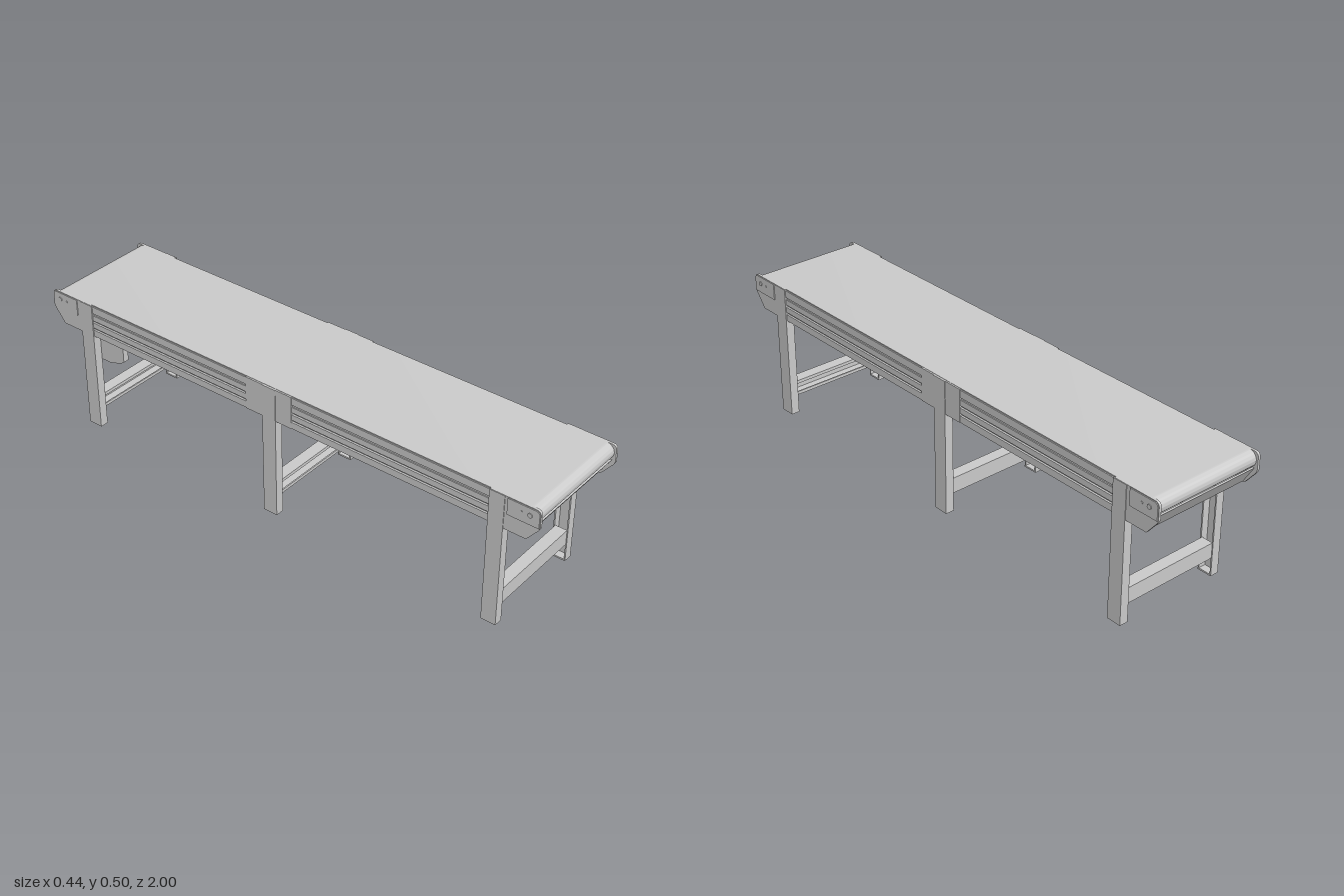
import * as THREE from 'three';
import { toCreasedNormals } from 'three/addons/utils/BufferGeometryUtils.js';

const material = new THREE.MeshStandardMaterial({ color: 0xcccccc });

export function createModel() {
  const model = new THREE.Group();
  model.name = 'beltConveyor';

  const add = (name, geometry, parent = model) => {
    const mesh = new THREE.Mesh(geometry, material);
    mesh.name = name;
    parent.add(mesh);
    return mesh;
  };
  // Box given by its limits on each axis
  const box = (name, x0, x1, y0, y1, z0, z1, parent) =>
    add(name, new THREE.BoxGeometry(Math.abs(x1 - x0), y1 - y0, z1 - z0)
      .translate((x0 + x1) / 2, (y0 + y1) / 2, (z0 + z1) / 2), parent);
  const toShape = (points) => new THREE.Shape(points.map(([a, b]) => new THREE.Vector2(a, b)));
  const extrude = (shape, depth) => toCreasedNormals(
    new THREE.ExtrudeGeometry(shape, { depth, bevelEnabled: false, curveSegments: 20 }), 0.5);
  // A (z, y) outline extruded from x0 to x1
  const acrossX = (name, shape, x0, x1, parent) =>
    add(name, extrude(shape, x1 - x0).rotateY(-Math.PI / 2).translate(x1, 0, 0), parent);
  // Cylinder along x
  const rodX = (name, r, x0, x1, y, z, parent) =>
    add(name, new THREE.CylinderGeometry(r, r, Math.abs(x1 - x0), 28)
      .rotateZ(Math.PI / 2).translate((x0 + x1) / 2, y, z), parent);

  // Belt wrapped round the two end rollers
  const belt = new THREE.Shape();
  const r = 0.03, rollerZ = 0.963, rollerY = 0.47;
  belt.absarc(rollerZ, rollerY, r, -Math.PI / 2, Math.PI / 2);
  belt.absarc(-rollerZ, rollerY, r, Math.PI / 2, Math.PI * 1.5);
  belt.closePath();
  acrossX('belt', belt, -0.207, 0.207);
  box('underPan', -0.203, 0.203, 0.395, 0.4, -0.83, 0.83);

  // Sloped covers below the rollers
  for (const e of [1, -1]) {
    acrossX('endCover', toShape([
      [e * 0.988, 0.443], [e * 0.948, 0.378], [e * 0.84, 0.378],
      [e * 0.84, 0.384], [e * 0.944, 0.384], [e * 0.98, 0.443],
    ]), -0.204, 0.204);
  }

  // Grooved side rail cross-section
  const railProfile = (s) => {
    const points = [[0.2, 0.378], [0.211, 0.378]];
    for (const y of [0.407, 0.436, 0.465]) {
      points.push([0.211, y - 0.004], [0.204, y - 0.004], [0.204, y + 0.004], [0.211, y + 0.004]);
    }
    points.push([0.211, 0.496], [0.2, 0.496]);
    return toShape(points.map(([x, y]) => [s * x, y]));
  };

  // End side plate with a rounded nose and sloped lower corner
  const endPlate = (e) => {
    const shape = new THREE.Shape();
    shape.moveTo(e * 0.82, 0.378);
    shape.lineTo(e * 0.955, 0.378);
    shape.lineTo(e * 0.993, 0.425);
    shape.quadraticCurveTo(e, 0.434, e, 0.445);
    shape.lineTo(e, 0.482);
    shape.quadraticCurveTo(e, 0.5, e * 0.982, 0.5);
    shape.lineTo(e * 0.82, 0.5);
    shape.closePath();
    return shape;
  };
  const tensionPlate = (e) => {
    const shape = new THREE.Shape();
    shape.moveTo(e * 0.885, 0.437);
    shape.lineTo(e * 0.997, 0.437);
    shape.lineTo(e * 0.997, 0.482);
    shape.quadraticCurveTo(e * 0.997, 0.497, e * 0.982, 0.497);
    shape.lineTo(e * 0.885, 0.497);
    shape.closePath();
    return shape;
  };

  for (const s of [1, -1]) {
    const side = new THREE.Group();
    side.name = s > 0 ? 'leftSide' : 'rightSide';
    model.add(side);
    add('sideRail', extrude(railProfile(s), 1.66).translate(0, 0, -0.83), side);
    box('jointPlate', s * 0.203, s * 0.213, 0.378, 0.499, -0.125, 0.065, side);
    for (const e of [1, -1]) {
      const span = (a, b) => [Math.min(s * a, s * b), Math.max(s * a, s * b)];
      acrossX('endPlate', endPlate(e), ...span(0.204, 0.213), side);
      acrossX('tensionPlate', tensionPlate(e), ...span(0.212, 0.216), side);
      rodX('axleBolt', 0.008, s * 0.214, s * 0.219, 0.472, e * 0.965, side);
      rodX('plateBolt', 0.004, s * 0.214, s * 0.218, 0.472, e * 0.935, side);
    }
  }

  // Trestles: channel legs open inward, joined by a channel brace
  const stand = (name, z, face) => {
    const g = new THREE.Group();
    g.name = name;
    model.add(g);
    const z0 = z - 0.0275, z1 = z + 0.0275, t = 0.005;
    for (const s of [1, -1]) {
      box('legWeb', s * 0.21, s * 0.215, 0, 0.499, z0, z1, g);
      for (const [a, b] of [[z0, z0 + t], [z1 - t, z1]]) {
        box('legFlange', s * 0.183, s * 0.211, 0, 0.4, a, b, g);
      }
      box('footPlate', s * 0.182, s * 0.214, 0, 0.006, z0, z1, g);
    }
    // Brace profile: web on the outer face, lips at the open side
    const a = z + face * 0.024, b = z - face * 0.02, i = a - face * t;
    acrossX('lowerBrace', toShape([
      [a, 0.066], [a, 0.123], [b, 0.123], [b, 0.111], [b + face * t, 0.111],
      [b + face * t, 0.118], [i, 0.118], [i, 0.071], [b + face * t, 0.071],
      [b + face * t, 0.078], [b, 0.078], [b, 0.066],
    ]), -0.184, 0.184, g);
    box('upperBrace', -0.21, 0.21, 0.378, 0.4, z - 0.02, z + 0.02, g);
  };
  stand('frontStand', 0.847, 1);
  stand('middleStand', -0.0275, -1);
  stand('rearStand', -0.8425, -1);

  // Drive: chain case beside the rear leg, gearbox and motor shaft
  const drive = new THREE.Group();
  drive.name = 'driveUnit';
  model.add(drive);
  acrossX('driveCase', toShape([
    [-0.708, 0.385], [-0.708, 0.3], [-0.725, 0.288], [-0.775, 0.273], [-0.83, 0.273], [-0.83, 0.385],
  ]), -0.184, -0.161, drive);
  const gearY = 0.322, gearZ = -0.783;
  const gearbox = new THREE.Shape();
  gearbox.moveTo(gearZ + 0.027, 0.376);
  gearbox.lineTo(gearZ - 0.027, 0.376);
  gearbox.lineTo(gearZ - 0.027, gearY);
  gearbox.absarc(gearZ, gearY, 0.027, Math.PI, Math.PI * 2);
  gearbox.closePath();
  acrossX('gearbox', gearbox, -0.15, -0.103, drive);
  rodX('gearFlange', 0.024, -0.157, -0.096, gearY, gearZ, drive);
  rodX('driveShaft', 0.012, -0.165, -0.09, gearY, gearZ, drive);
  rodX('shaftCap', 0.016, -0.096, -0.086, gearY, gearZ, drive);

  return model;
}
